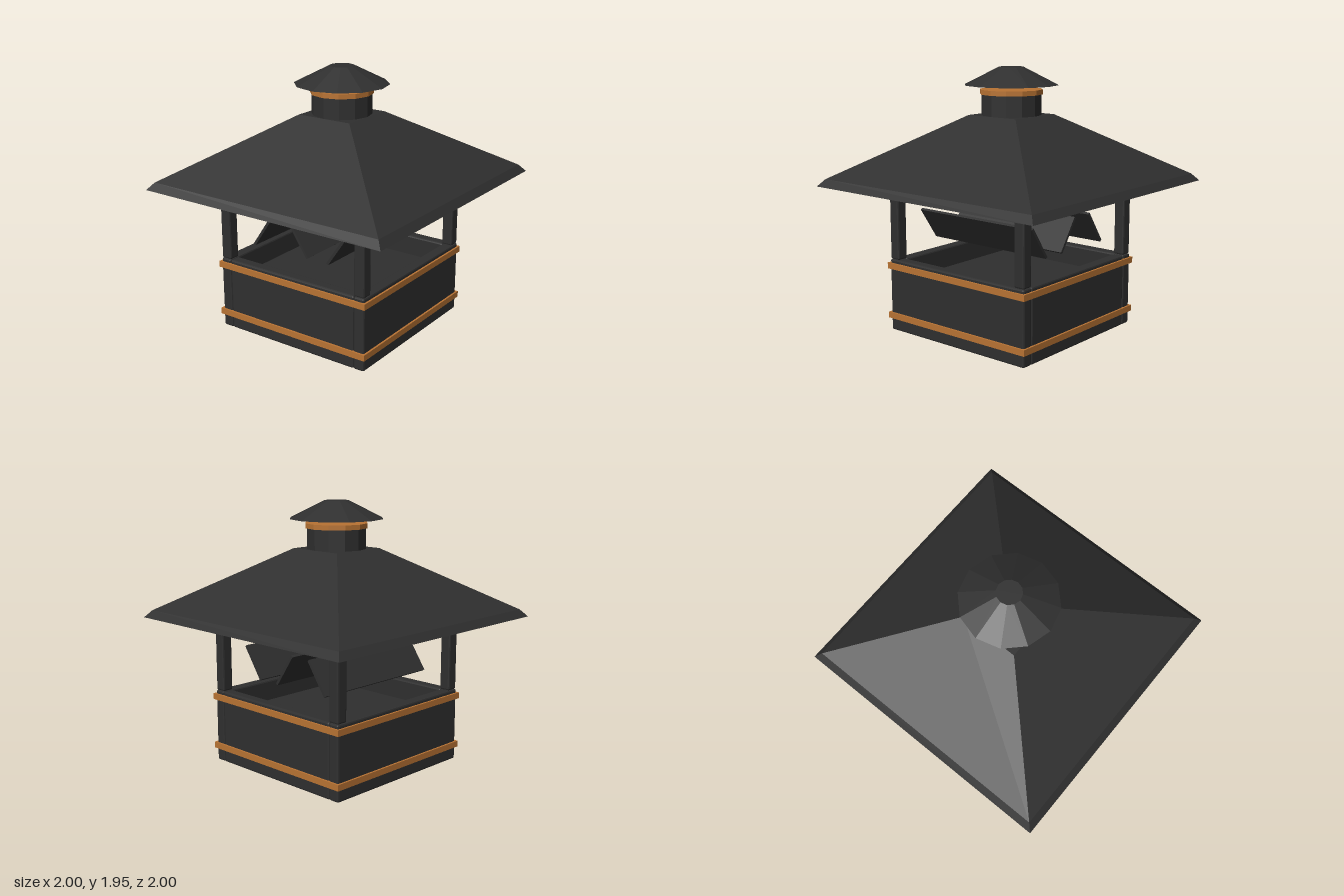
import * as THREE from 'three';
import { RoundedBoxGeometry } from 'three/addons/geometries/RoundedBoxGeometry.js';

export function createModel() {
  const model = new THREE.Group();
  model.name = 'chimneyCap';

  const iron = new THREE.MeshStandardMaterial({ color: 0x2f2f2f });
  iron.name = 'dark iron';
  const copper = new THREE.MeshStandardMaterial({ color: 0xb87333 });
  copper.name = 'copper';

  function add(name, geometry, material, x = 0, y = 0, z = 0) {
    const mesh = new THREE.Mesh(geometry, material);
    mesh.name = name;
    mesh.position.set(x, y, z);
    model.add(mesh);
    return mesh;
  }

  // Box with small chamfered edges and flat faces
  function chamferBox(w, h, d) {
    const g = new RoundedBoxGeometry(w, h, d, 1, 0.012);
    g.computeVertexNormals();
    return g;
  }

  // Faceted solid turned from a profile listed from bottom to top
  function faceted(profile, sides, start = 0) {
    const points = profile.map(([r, y]) => new THREE.Vector2(r, y));
    const g = new THREE.LatheGeometry(points, sides, start).toNonIndexed();
    g.computeVertexNormals();
    return g;
  }

  // Hollow square base with an inner deck
  for (const s of [-1, 1]) {
    add(s > 0 ? 'frontWall' : 'backWall', chamferBox(1.27, 0.545, 0.085), iron, 0, 0.2725, s * 0.5925);
    add(s > 0 ? 'leftWall' : 'rightWall', chamferBox(0.085, 0.545, 1.1), iron, s * 0.5925, 0.2725, 0);
  }
  add('innerDeck', new THREE.BoxGeometry(1.1, 0.05, 1.1), iron, 0, 0.365, 0);

  // Copper bands around the base
  for (const y of [0.115, 0.495]) {
    for (const s of [-1, 1]) {
      add('bandAcross', new THREE.BoxGeometry(1.3, 0.045, 0.025), copper, 0, y, s * 0.6375);
      add('bandAlong', new THREE.BoxGeometry(0.025, 0.045, 1.25), copper, s * 0.6375, y, 0);
    }
  }

  // Corner posts
  for (const x of [-0.59, 0.59]) {
    for (const z of [-0.59, 0.59]) {
      add('post', chamferBox(0.085, 0.555, 0.085), iron, x, 0.8225, z);
    }
  }

  // Tilted baffle plates between the posts
  for (const [z, tilt] of [[0.33, 1], [0, -1], [-0.325, 1]].map(([z, t], i) => [z, i === 0 ? 1 : i === 1 ? -1 : 1])) {
    const plate = add('baffle', new THREE.BoxGeometry(1.055, 0.28, 0.02), iron, 0, 0.785, z);
    plate.rotation.x = tilt * 0.6;
  }

  // Hipped roof with a sloping eave
  const q = Math.SQRT2;
  add('roof', faceted([[0, 1.097], [q, 1.097], [0.955 * q, 1.15], [0.22 * q, 1.605], [0, 1.605]], 4, Math.PI / 4), iron);

  // Flue collar, copper ring and rain cap
  add('flueCollar', faceted([[0, 1.59], [0.22, 1.59], [0.22, 1.77], [0, 1.77]], 12), iron);
  add('collarRing', faceted([[0, 1.755], [0.23, 1.755], [0.23, 1.79], [0, 1.79]], 12), copper);
  add('rainCap', faceted([[0, 1.822], [0.345, 1.822], [0.09, 1.95], [0, 1.95]], 12), iron);

  return model;
}
